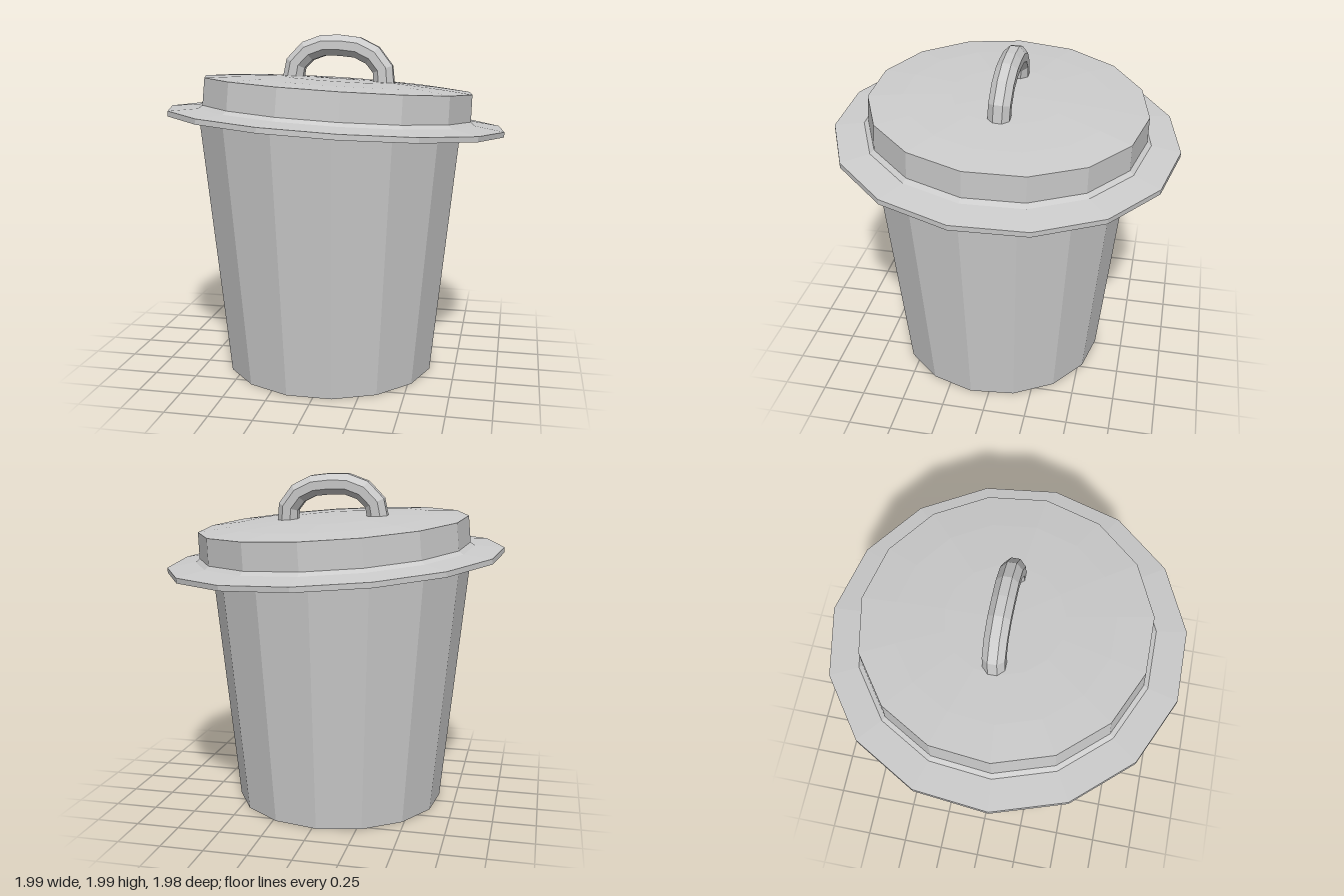
import * as THREE from 'three';

const SIDES = 15;
const material = new THREE.MeshStandardMaterial({ color: 0xcccccc, flatShading: true });

function addMesh(parent, name, geometry) {
  const mesh = new THREE.Mesh(geometry, material);
  mesh.name = name;
  parent.add(mesh);
  return mesh;
}

// Faceted solid of revolution; profile runs bottom to top along the outside
function turned(profile) {
  const points = profile.map(([r, y]) => new THREE.Vector2(r, y));
  return new THREE.LatheGeometry(points, SIDES, Math.PI);
}

export function createModel() {
  const model = new THREE.Group();
  model.name = 'trashCan';

  // Tapered bucket with a thin wall, open under the lid
  const bucket = addMesh(model, 'bucket', turned([
    [0, 0], [0.627, 0], [0.782, 1.53], [0.76, 1.53], [0.61, 0.03], [0, 0.03],
  ]));
  bucket.position.set(-0.023, 0, 0.045);

  // Lid sits askew on the bucket
  const lid = new THREE.Group();
  lid.name = 'lid';
  lid.position.set(0, 1.49, 0);
  lid.rotation.set(-0.048, 0, -0.055);
  model.add(lid);

  // Hollow cover: inner ceiling, flared rim, drum wall and shallow dome
  addMesh(lid, 'cover', turned([
    [0, 0.215], [0.775, 0.18], [0.785, 0], [1, -0.015], [1, 0.015],
    [0.83, 0.035], [0.805, 0.055], [0.8, 0.21], [0.6, 0.227], [0.33, 0.24], [0, 0.245],
  ]));

  // Arched handle with an octagonal section
  const arch = [
    [-0.275, 0.215], [-0.262, 0.315], [-0.205, 0.385], [-0.11, 0.43], [0, 0.438],
    [0.11, 0.43], [0.205, 0.385], [0.262, 0.315], [0.275, 0.215],
  ];
  const path = new THREE.CatmullRomCurve3(arch.map(([x, y]) => new THREE.Vector3(x, y, 0)));
  const section = new THREE.Shape();
  for (let i = 0; i < 8; i++) {
    const a = (i + 0.5) * Math.PI / 4;
    section[i ? 'lineTo' : 'moveTo'](0.066 * Math.cos(a), 0.066 * Math.sin(a));
  }
  section.closePath();
  addMesh(lid, 'handle', new THREE.ExtrudeGeometry(section, { steps: 8, extrudePath: path }));

  return model;
}
